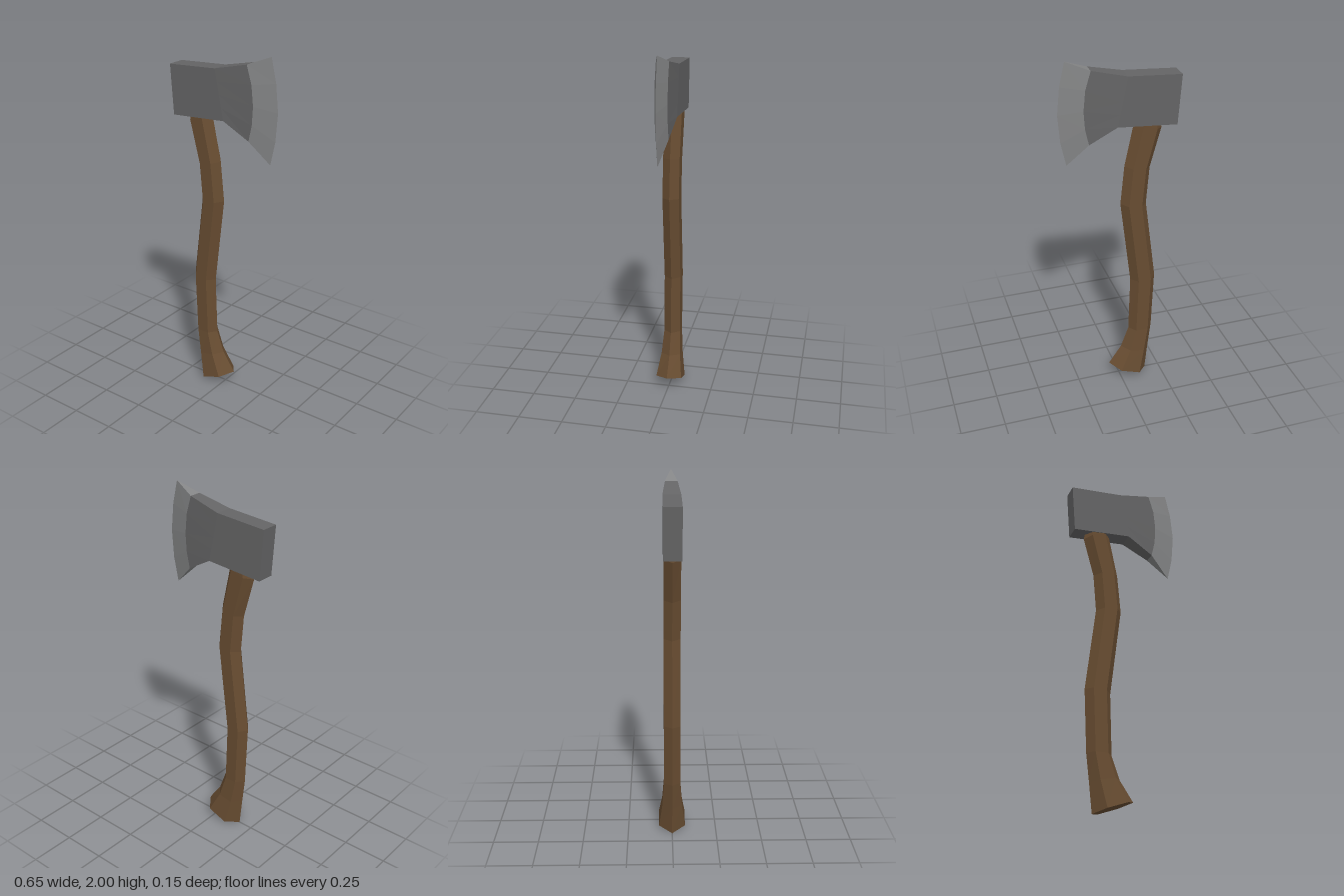
import * as THREE from 'three';

const wood = new THREE.MeshStandardMaterial({ color: 0x674c31 });
wood.name = 'wood';
const steel = new THREE.MeshStandardMaterial({ color: 0x646465 });
steel.name = 'steel';
const sharpSteel = new THREE.MeshStandardMaterial({ color: 0x848586 });
sharpSteel.name = 'sharpened steel';

// Flat-shaded skin over a row of rings (each counterclockwise about the row direction)
function loft(name, rings, material, capStart, capEnd) {
  const pos = [];
  const tri = (...pts) => pts.forEach((p) => pos.push(p.x, p.y, p.z));
  const n = rings[0].length;
  const centre = (ring) => ring.reduce((s, p) => s.add(p), new THREE.Vector3()).divideScalar(n);
  for (let r = 0; r < rings.length - 1; r++) {
    const a = rings[r], b = rings[r + 1];
    for (let i = 0; i < n; i++) {
      const j = (i + 1) % n;
      tri(a[i], a[j], b[j]);
      tri(a[i], b[j], b[i]);
    }
  }
  const first = rings[0], last = rings[rings.length - 1];
  for (let i = 0; i < n; i++) {
    const j = (i + 1) % n;
    if (capStart) tri(centre(first), first[j], first[i]);
    if (capEnd) tri(centre(last), last[i], last[j]);
  }
  const geometry = new THREE.BufferGeometry();
  geometry.setAttribute('position', new THREE.Float32BufferAttribute(pos, 3));
  geometry.computeVertexNormals();
  const mesh = new THREE.Mesh(geometry, material);
  mesh.name = name;
  return mesh;
}

// Six-sided handle ring between its left-hand and right-hand ridge points
function handleRing([x0, y0, x1, y1, halfDepth]) {
  const hex = [[0.5, 1], [1, 0], [0.5, -1], [-0.5, -1], [-1, 0], [-0.5, 1]];
  return hex.map(([u, w]) => new THREE.Vector3(
    THREE.MathUtils.lerp(x0, x1, (u + 1) / 2),
    THREE.MathUtils.lerp(y0, y1, (u + 1) / 2),
    w * halfDepth));
}

// Head ring: down the front side, then up the back side
function headRing(column, halfDepth) {
  const front = column.map(([x, y]) => new THREE.Vector3(x, y, halfDepth));
  const back = column.map(([x, y]) => new THREE.Vector3(x, y, -halfDepth)).reverse();
  return [...front, ...back];
}

// Straight column of five points, top to bottom
function straight([x0, y0], [x1, y1]) {
  return [0, 0.25, 0.5, 0.75, 1].map((t) => [x0 + (x1 - x0) * t, y0 + (y1 - y0) * t]);
}

export function createModel() {
  const group = new THREE.Group();
  group.name = 'axe';

  // Curved handle, flaring into a knob: x, y of each ridge, half depth
  const handle = [
    [-0.165, 0.005, 0.06, 0.085, 0.074],
    [-0.182, 0.165, -0.015, 0.195, 0.055],
    [-0.2, 0.32, -0.06, 0.32, 0.046],
    [-0.215, 0.67, -0.07, 0.66, 0.046],
    [-0.157, 1.145, -0.01, 1.16, 0.046],
    [-0.175, 1.36, -0.032, 1.385, 0.046],
    [-0.237, 1.585, -0.085, 1.635, 0.046],
    [-0.225, 1.65, -0.09, 1.68, 0.044],
  ];
  group.add(loft('handle', handle.map(handleRing), wood, true, true));

  // Head columns from the poll to the cutting edge
  const poll = straight([-0.328, 1.885], [-0.308, 1.61]);
  const neck = straight([-0.035, 1.905], [0.02, 1.635]);
  const bevel = [[0.155, 1.95], [0.185, 1.85], [0.196, 1.74], [0.19, 1.64], [0.17, 1.55]];
  const edge = [[0.28, 2], [0.31, 1.87], [0.325, 1.72], [0.313, 1.565], [0.285, 1.435]];
  const bevelRing = headRing(bevel, 0.034);
  group.add(loft('axeHead', [headRing(poll, 0.049), headRing(neck, 0.049), bevelRing], steel, true, false));
  group.add(loft('cuttingEdge', [bevelRing, headRing(edge, 0)], sharpSteel, false, false));

  return group;
}
